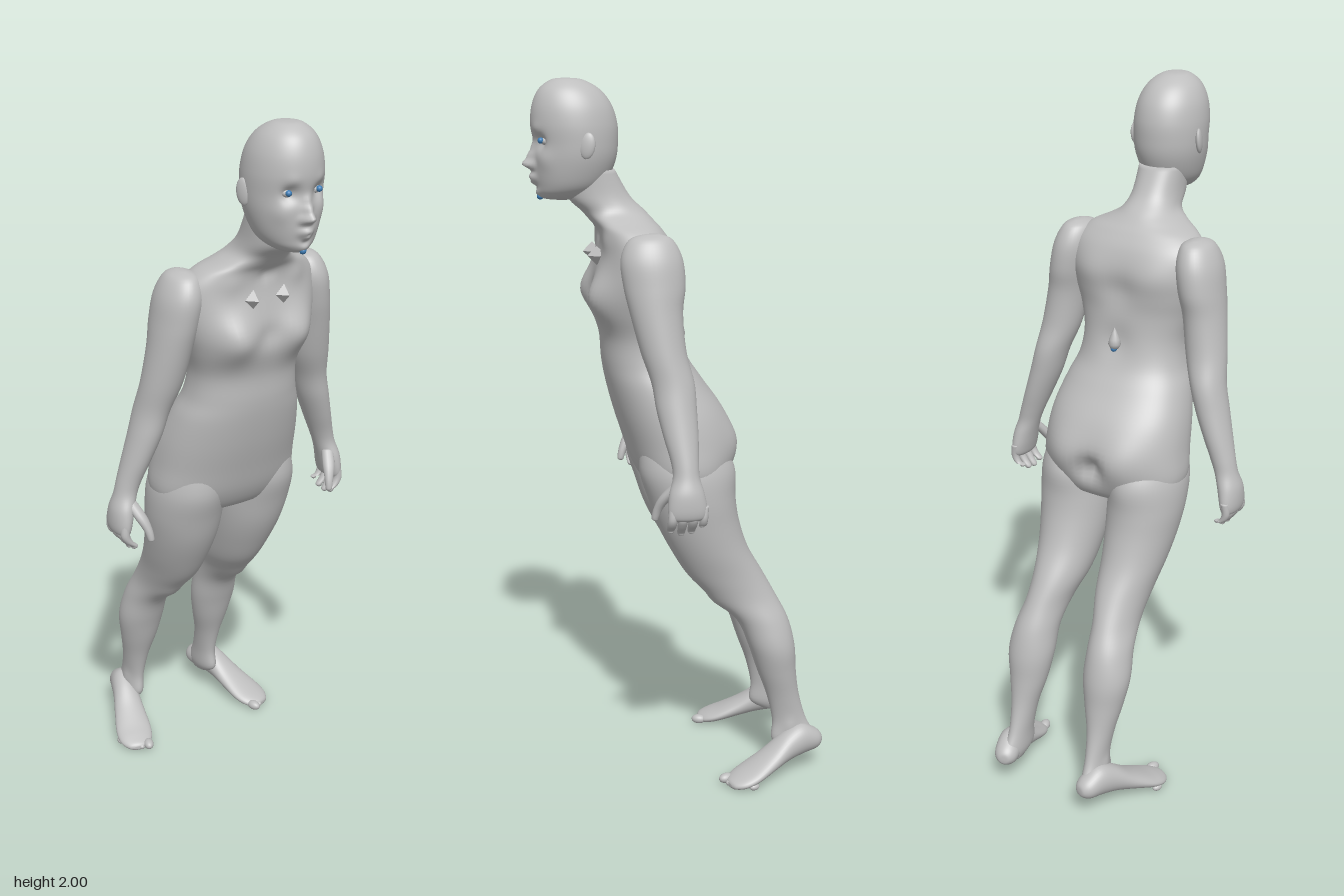
import * as THREE from 'three';

const skin = new THREE.MeshStandardMaterial({ name: 'clay grey', color: 0xbebebe });
const blue = new THREE.MeshStandardMaterial({ name: 'marker blue', color: 0x3f7fb8 });

// Catmull-Rom blend of neighbouring rows
function sample(rows, t) {
  const i = Math.min(Math.floor(t), rows.length - 2), f = t - i;
  const at = k => rows[Math.max(0, Math.min(rows.length - 1, k))];
  const [a, b, c, d] = [at(i - 1), at(i), at(i + 1), at(i + 2)];
  return b.map((v, k) => v + 0.5 * f * (c[k] - a[k] + f * (2 * a[k] - 5 * v + 4 * c[k] - d[k] + f * (3 * (v - c[k]) + d[k] - a[k]))));
}

// Skin over level sections, rows from top to bottom: [y, xMin, xMax, zFront, zBack].
// Bumps [x, y, z, radius, dx, dy, dz] push the surface softly on both sides.
function loft(rows, { seg = 32, steps = 5, power = 2, bumps = [] } = {}) {
  const pos = [], index = [];
  const n = (rows.length - 1) * steps;
  const all = bumps.flatMap(b => b[0] === 0 ? [b] : [b, [-b[0], b[1], b[2], b[3], -b[4], b[5], b[6]]]);
  const push = (x, y, z) => {
    let [px, py, pz] = [x, y, z];
    for (const [bx, by, bz, r, dx, dy, dz] of all) {
      const w = Math.exp(-((x - bx) ** 2 + (y - by) ** 2 + (z - bz) ** 2) / (r * r));
      px += dx * w; py += dy * w; pz += dz * w;
    }
    pos.push(px, py, pz);
  };
  const bend = v => Math.sign(v) * Math.abs(v) ** (2 / power);
  for (let i = 0; i <= n; i++) {
    const [y, x0, x1, zf, zb] = sample(rows, (n - i) / steps);
    for (let j = 0; j < seg; j++) {
      const a = j / seg * Math.PI * 2;
      push((x0 + x1) / 2 + (x1 - x0) / 2 * bend(Math.cos(a)), y, (zf + zb) / 2 + (zf - zb) / 2 * bend(Math.sin(a)));
    }
  }
  for (let i = 0; i < n; i++) for (let j = 0; j < seg; j++) {
    const a = i * seg + j, b = i * seg + (j + 1) % seg;
    index.push(a, a + seg, b, b, a + seg, b + seg);
  }
  // end caps
  for (const [row, first] of [[rows[rows.length - 1], 0], [rows[0], n * seg]]) {
    const c = pos.length / 3;
    push((row[1] + row[2]) / 2, row[0], (row[3] + row[4]) / 2);
    for (let j = 0; j < seg; j++) {
      const a = first + j, b = first + (j + 1) % seg;
      first ? index.push(c, b, a) : index.push(c, a, b);
    }
  }
  const g = new THREE.BufferGeometry();
  g.setAttribute('position', new THREE.Float32BufferAttribute(pos, 3));
  g.setIndex(index);
  g.computeVertexNormals();
  return g;
}

const mirrorRows = (rows, s) => s > 0 ? rows : rows.map(([y, a, b, f, k]) => [y, -b, -a, f, k]);
const centred = rows => rows.map(([y, hw, f, b]) => [y, -hw, hw, f, b]);
// round limb from points [x, y, z, radius], with a rounded tip
function digit(points) {
  const rows = points.map(([x, y, z, r]) => [y, x - r, x + r, z + r, z - r]);
  const [x, y, z, r] = points[points.length - 1];
  rows.push([y - r * 0.7, x - r * 0.7, x + r * 0.7, z + r * 0.7, z - r * 0.7], [y - r, x - r * 0.1, x + r * 0.1, z + r * 0.1, z - r * 0.1]);
  return rows;
}

export function createModel() {
  const model = new THREE.Group();
  const add = (name, geo, mat = skin, parent = model) => {
    const m = new THREE.Mesh(geo, mat);
    m.name = name;
    parent.add(m);
    return m;
  };
  const ball = (name, r, x, y, z, mat = skin, sx = 1, sy = 1, sz = 1, parent = model) => {
    const m = add(name, new THREE.SphereGeometry(r, 20, 14), mat, parent);
    m.position.set(x, y, z);
    m.scale.set(sx, sy, sz);
    return m;
  };

  // Torso and neck: y, half width, front z, back z
  add('torso', loft(centred([
    [1.76, 0.066, 0.31, 0.17], [1.69, 0.067, 0.3, 0.13], [1.65, 0.078, 0.262, 0.09], [1.625, 0.115, 0.24, 0.067],
    [1.6, 0.165, 0.222, 0.045], [1.56, 0.2, 0.217, 0.02], [1.5, 0.205, 0.225, 0.002], [1.44, 0.193, 0.232, 0.0],
    [1.38, 0.174, 0.232, 0.0], [1.31, 0.156, 0.215, -0.01], [1.24, 0.163, 0.21, -0.03], [1.18, 0.185, 0.2, -0.068],
    [1.1, 0.205, 0.18, -0.122], [1.02, 0.215, 0.155, -0.145], [0.94, 0.22, 0.128, -0.14], [0.885, 0.19, 0.095, -0.12],
    [0.865, 0.12, 0.06, -0.08]
  ]), {
    seg: 72, power: 2.25, bumps: [
      [0.095, 1.43, 0.21, 0.06, 0, -0.005, 0.036], [0, 1.43, 0.235, 0.03, 0, 0, -0.008],
      [0.09, 1.0, -0.13, 0.075, 0, 0, -0.022], [0, 0.97, -0.145, 0.035, 0, 0, 0.035],
      [0.1, 1.5, 0.01, 0.06, 0, 0, -0.008], [0, 1.45, 0, 0.05, 0, 0, 0.012], [0, 1.3, -0.01, 0.05, 0, 0, 0.012],
      [0, 1.59, 0.22, 0.02, 0, 0, -0.01], [0.1, 1.575, 0.21, 0.03, 0, 0, 0.006]
    ]
  }));

  // Head with sculpted face
  add('head', loft(centred([
    [2.0, 0.006, 0.306, 0.294], [1.995, 0.038, 0.338, 0.252], [1.97, 0.07, 0.371, 0.207], [1.93, 0.091, 0.389, 0.176],
    [1.88, 0.1, 0.394, 0.161], [1.83, 0.1, 0.387, 0.16], [1.79, 0.096, 0.387, 0.165], [1.75, 0.086, 0.386, 0.18],
    [1.72, 0.074, 0.381, 0.2], [1.7, 0.058, 0.376, 0.225], [1.685, 0.035, 0.362, 0.26], [1.68, 0.01, 0.33, 0.29]
  ]), {
    seg: 110, steps: 8, bumps: [
      [0, 1.777, 0.388, 0.014, 0, 0, 0.03], [0, 1.8, 0.387, 0.014, 0, 0, 0.016], [0, 1.822, 0.387, 0.012, 0, 0, 0.007],
      [0.014, 1.772, 0.386, 0.01, 0, 0, 0.01], [0.04, 1.838, 0.374, 0.022, 0, 0, -0.017],
      [0.04, 1.866, 0.38, 0.018, 0, 0, 0.004], [0.055, 1.79, 0.36, 0.028, 0.003, 0, 0.004],
      [0, 1.743, 0.386, 0.013, 0, 0, 0.013], [0.014, 1.74, 0.384, 0.012, 0, 0, 0.006], [0, 1.726, 0.383, 0.01, 0, 0, 0.011],
      [0, 1.735, 0.385, 0.004, 0, 0, -0.006], [0, 1.715, 0.38, 0.011, 0, 0, -0.006], [0, 1.698, 0.375, 0.018, 0, 0, 0.008]
    ]
  }));

  // Arm, leg: y, inner x, outer x, front z, back z
  const armRows = [
    [1.605, 0.18, 0.2, 0.12, 0.08], [1.59, 0.15, 0.232, 0.162, 0.045], [1.54, 0.14, 0.258, 0.185, 0.02],
    [1.47, 0.15, 0.271, 0.18, 0.015], [1.4, 0.165, 0.281, 0.165, 0.024], [1.3, 0.183, 0.296, 0.14, 0.018],
    [1.22, 0.211, 0.308, 0.115, 0], [1.15, 0.233, 0.324, 0.105, -0.003], [1.08, 0.262, 0.342, 0.09, -0.003],
    [1.02, 0.288, 0.358, 0.075, 0], [0.98, 0.304, 0.368, 0.072, 0], [0.94, 0.317, 0.381, 0.084, -0.01],
    [0.9, 0.328, 0.384, 0.089, -0.017], [0.875, 0.336, 0.38, 0.085, -0.014], [0.866, 0.346, 0.37, 0.07, 0]
  ];
  const legRows = [
    [1.02, 0.03, 0.195, 0.12, -0.1], [0.94, 0.012, 0.22, 0.125, -0.135], [0.86, 0.007, 0.223, 0.102, -0.145],
    [0.78, 0.011, 0.213, 0.075, -0.16], [0.7, 0.02, 0.199, 0.035, -0.187], [0.62, 0.033, 0.183, -0.015, -0.232],
    [0.55, 0.055, 0.178, -0.085, -0.27], [0.48, 0.063, 0.19, -0.155, -0.305], [0.4, 0.063, 0.2, -0.19, -0.325],
    [0.32, 0.076, 0.188, -0.217, -0.331], [0.24, 0.096, 0.172, -0.246, -0.342], [0.16, 0.107, 0.163, -0.264, -0.365],
    [0.1, 0.11, 0.168, -0.262, -0.395], [0.07, 0.12, 0.16, -0.3, -0.385]
  ];
  // Foot: distance from heel, half width, top, bottom
  const footRows = [
    [0.312, 0.012, 0.018, 0.008], [0.305, 0.03, 0.026, 0.002], [0.28, 0.049, 0.038, 0.002], [0.24, 0.055, 0.056, 0.01],
    [0.18, 0.048, 0.09, 0.028], [0.12, 0.04, 0.132, 0.045], [0.07, 0.038, 0.15, 0.055], [0.025, 0.034, 0.13, 0.062],
    [0.004, 0.02, 0.112, 0.075], [0, 0.004, 0.095, 0.088]
  ].map(([t, w, top, bottom]) => [t, -w, w, -bottom, -top]);

  for (const s of [1, -1]) {
    const side = s > 0 ? 'left' : 'right';
    add(side + 'Arm', loft(mirrorRows(armRows, s), { seg: 40 }));
    add(side + 'Leg', loft(mirrorRows(legRows, s), {
      seg: 48, bumps: [[0.115, 0.54, -0.1, 0.04, 0, 0, 0.012], [0.09, 0.94, -0.13, 0.07, 0, 0, -0.012], [0.17, 0.145, -0.31, 0.02, 0.006, 0, 0]]
    }));

    // hand: four curled fingers and a thumb
    for (let k = 0; k < 4; k++) {
      const z = 0.074 - 0.028 * k, low = [0.836, 0.828, 0.832, 0.846][k], r = k === 3 ? 0.011 : 0.013;
      add(side + 'Finger', loft(mirrorRows(digit([
        [0.358, 0.905, z, r], [0.362, 0.872, z + 0.003, r], [0.352, 0.85, z + 0.004, r * 0.95], [0.336, low, z + 0.004, r * 0.8]
      ]), s), { seg: 14 }));
    }
    add(side + 'Thumb', loft(mirrorRows(digit([
      [0.336, 0.965, 0.055, 0.017], [0.32, 0.925, 0.086, 0.018], [0.308, 0.89, 0.106, 0.013], [0.303, 0.863, 0.114, 0.01]
    ]), s), { seg: 14 }));

    // foot turned outwards, with toes
    const foot = new THREE.Group();
    foot.name = side + 'Foot';
    foot.position.set(s * 0.135, 0, -0.41);
    foot.rotation.y = s * 0.32;
    model.add(foot);
    add(side + 'FootBody', loft(footRows, { seg: 36 }).rotateX(Math.PI / 2), skin, foot);
    for (let k = 0; k < 5; k++) {
      const r = k ? 0.0105 : 0.015;
      ball(side + 'Toe', r, s * (-0.034 + 0.019 * k + (k ? 0.003 : 0)), r + 0.002, 0.303 - 0.003 * k * k, skin, 1, 0.95, 1.5, foot);
    }

    // ear, eye and eye marker
    const ear = ball(side + 'Ear', 0.032, s * 0.1, 1.828, 0.255, skin, 0.28, 1.08, 0.66);
    ear.rotation.set(-0.15, -s * 0.35, 0);
    ball(side + 'Eye', 0.014, s * 0.041, 1.838, 0.357, skin, 1.15, 0.8, 1);
    ball(side + 'EyeMarker', 0.008, s * 0.046, 1.84, 0.372, blue);

    // faceted chest marker
    const gem = add(side + 'ChestMarker', new THREE.OctahedronGeometry(0.026, 0));
    gem.position.set(s * 0.048, 1.533, 0.227);
  }

  // Teardrop marker on the back
  const drop = [[0, -0.03], [0.012, -0.026], [0.018, -0.014], [0.015, 0], [0.007, 0.02], [0, 0.035]];
  add('backMarker', new THREE.LatheGeometry(drop.map(p => new THREE.Vector2(...p)), 16)).position.set(0.004, 1.315, -0.008);
  ball('backMarkerDot', 0.009, 0.004, 1.288, -0.012, blue);

  // Crown and chin markers
  ball('crownMarker', 0.009, -0.005, 1.991, 0.3, blue);
  ball('chinMarker', 0.009, 0, 1.69, 0.372, blue);
  return model;
}
